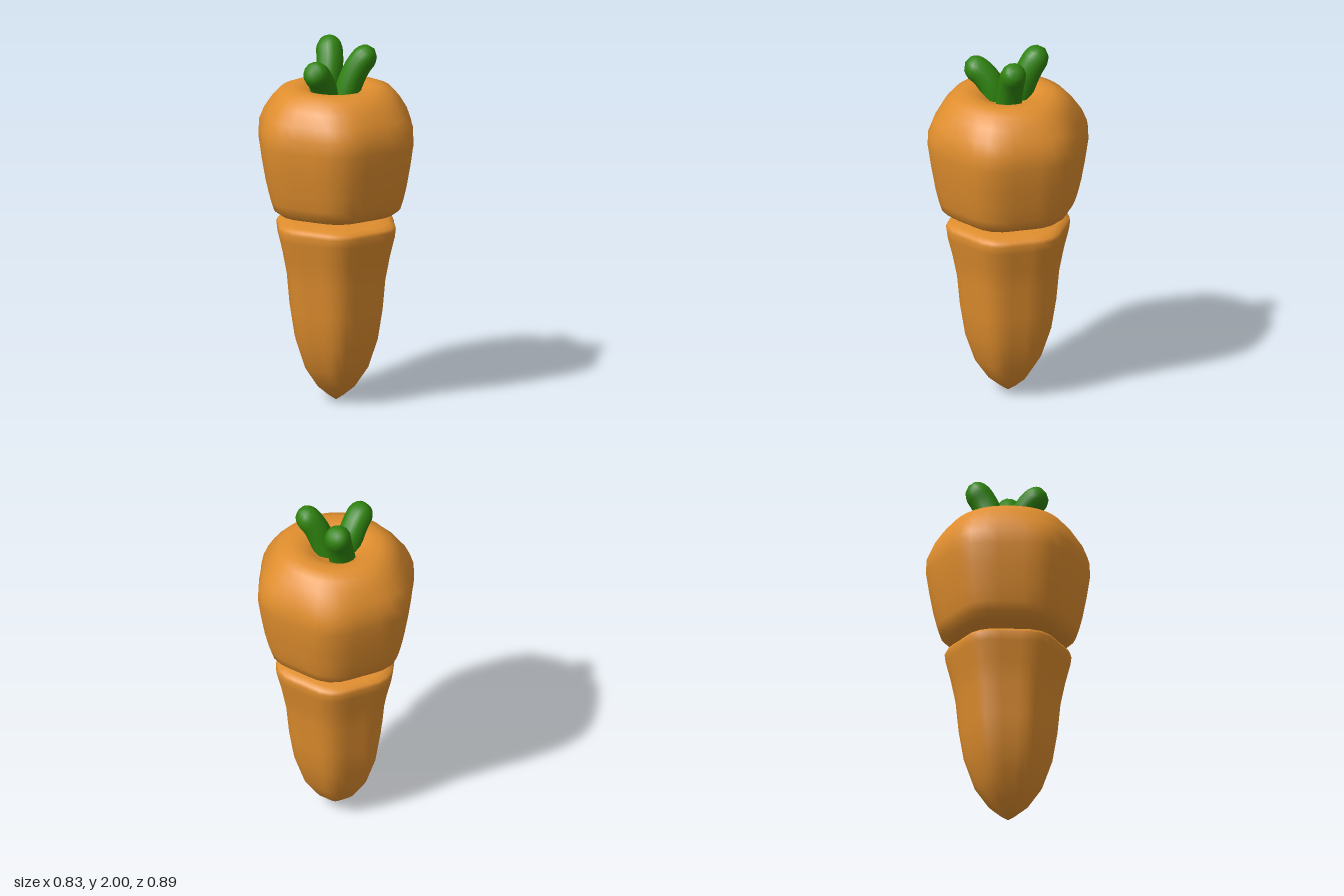
import * as THREE from 'three';
import { mergeVertices } from 'three/addons/utils/BufferGeometryUtils.js';

const orange = new THREE.MeshStandardMaterial({ color: 0xe08e2e });
orange.name = 'carrot orange';
const green = new THREE.MeshStandardMaterial({ color: 0x2f830f });
green.name = 'leaf green';

// Weld seams so the surface shades smoothly
function smooth(geometry) {
  geometry.deleteAttribute('normal');
  geometry.deleteAttribute('uv');
  const welded = mergeVertices(geometry, 1e-4);
  welded.computeVertexNormals();
  return welded;
}

// Turned body pressed into a soft hexagon with corners at front and back
function hexBody(name, profile, hex) {
  const geometry = new THREE.LatheGeometry(profile.map(([r, y]) => new THREE.Vector2(r, y)), 36);
  const p = geometry.attributes.position;
  for (let i = 0; i < p.count; i++) {
    const x = p.getX(i), y = p.getY(i), z = p.getZ(i);
    const s = 1 - hex(y) * (1 - Math.cos(6 * Math.atan2(x, z)));
    p.setXYZ(i, x * s, y, z * s);
  }
  const mesh = new THREE.Mesh(smooth(geometry), orange);
  mesh.name = name;
  return mesh;
}

// Finger-like leaf: a tube along a curve with a rounded tip
function leaf(name, radius, points) {
  const curve = new THREE.CatmullRomCurve3(points.map((q) => new THREE.Vector3(...q)));
  const rings = 20, sides = 14, capStart = 0.76;
  const geometry = new THREE.TubeGeometry(curve, rings, radius, sides);
  const p = geometry.attributes.position;
  const v = new THREE.Vector3();
  for (let i = 0; i <= rings; i++) {
    const t = i / rings;
    const c = curve.getPointAt(t);
    const k = Math.max(0, (t - capStart) / (1 - capStart));
    const s = Math.sqrt(Math.max(0, 1 - k * k));
    for (let j = 0; j <= sides; j++) {
      const n = i * (sides + 1) + j;
      v.fromBufferAttribute(p, n).sub(c).multiplyScalar(s).add(c);
      p.setXYZ(n, v.x, v.y, v.z);
    }
  }
  const mesh = new THREE.Mesh(smooth(geometry), green);
  mesh.name = name;
  return mesh;
}

export function createModel() {
  const model = new THREE.Group();
  model.name = 'slicedCarrot';

  // Lower piece, tapering to a point
  model.add(hexBody('lowerCarrot', [
    [0, 0.005], [0.05, 0.04], [0.11, 0.09], [0.185, 0.2], [0.24, 0.36], [0.268, 0.53],
    [0.284, 0.7], [0.31, 0.83], [0.338, 0.94], [0.344, 0.985], [0.335, 1.003],
    [0.305, 1.018], [0.24, 1.025], [0.12, 1.034], [0, 1.036],
  ], () => 0.04));

  // Upper piece, with a dimple in its crown
  model.add(hexBody('upperCarrot', [
    [0, 1.055], [0.15, 1.058], [0.28, 1.064], [0.33, 1.073], [0.368, 1.1], [0.385, 1.15],
    [0.405, 1.23], [0.427, 1.35], [0.445, 1.47], [0.441, 1.55], [0.41, 1.62], [0.36, 1.69],
    [0.31, 1.742], [0.25, 1.765], [0.19, 1.764], [0.14, 1.745], [0.1, 1.715], [0, 1.7],
  ], (y) => 0.035 * THREE.MathUtils.clamp((1.78 - y) / 0.22, 0, 1)));

  // Three leaves sprouting from the dimple
  model.add(leaf('sideLeaf', 0.07, [
    [0.04, 1.66, 0.01], [0.075, 1.78, 0.01], [0.115, 1.87, 0.01], [0.16, 1.93, 0.01], [0.208, 1.972, 0.01],
  ]));
  model.add(leaf('backLeaf', 0.073, [
    [-0.05, 1.66, -0.06], [-0.035, 1.78, -0.09], [-0.025, 1.87, -0.125], [-0.025, 1.935, -0.165], [-0.025, 1.985, -0.215],
  ]));
  model.add(leaf('frontLeaf', 0.072, [
    [-0.06, 1.66, 0.05], [-0.07, 1.76, 0.065], [-0.095, 1.83, 0.105], [-0.12, 1.87, 0.15], [-0.15, 1.895, 0.2],
  ]));

  return model;
}
